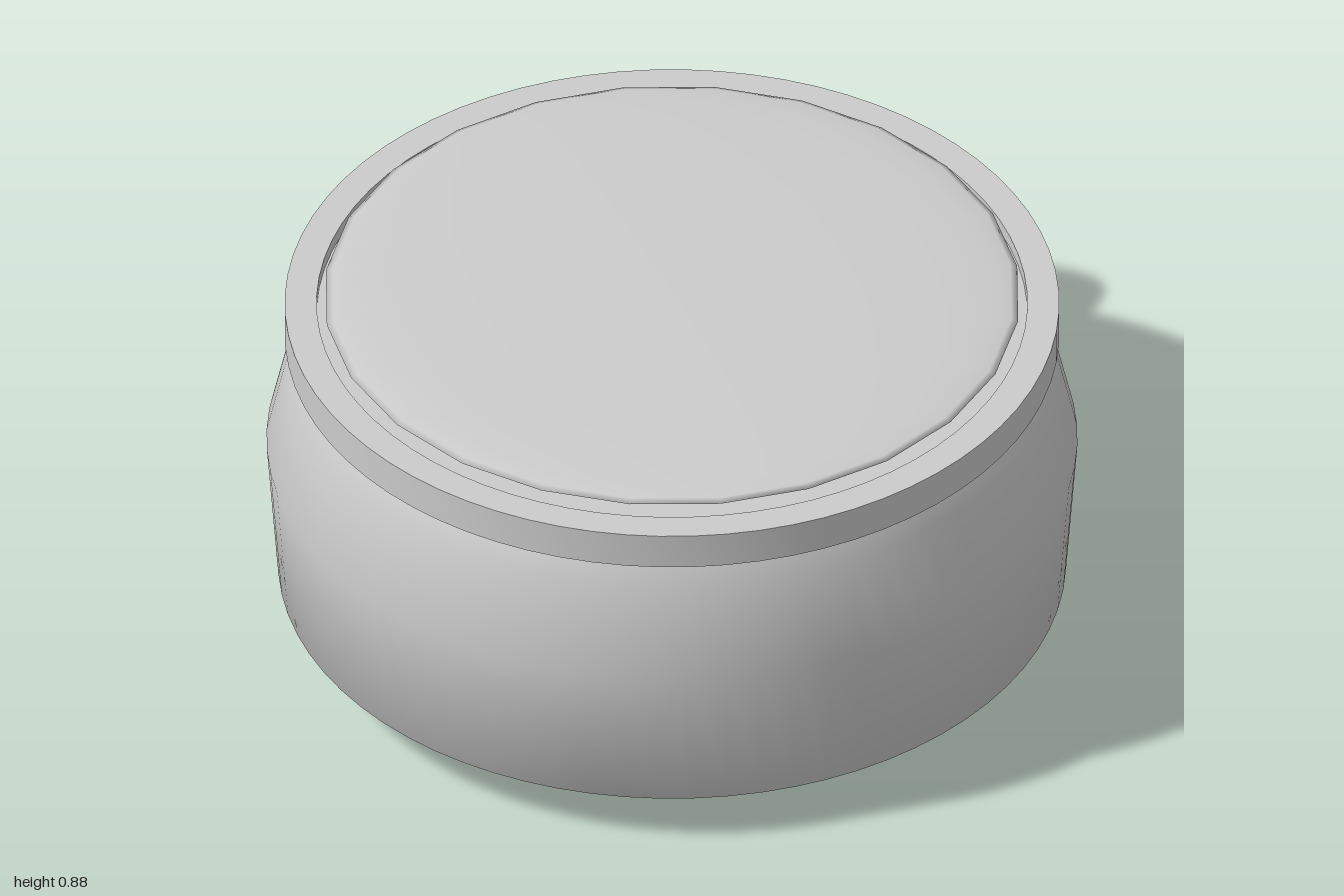
import * as THREE from 'three';
import { toCreasedNormals } from 'three/addons/utils/BufferGeometryUtils.js';

const CZ = 0.11; // axis of the round case

function lathe(points, segments = 72) {
  return new THREE.LatheGeometry(points.map(([x, y]) => new THREE.Vector2(x, y)), segments);
}

export function createModel() {
  const group = new THREE.Group();
  const metal = new THREE.MeshStandardMaterial({ color: 0xcccccc });
  metal.name = 'grey metal';

  const add = (name, geometry, x, y, z, parent = group) => {
    const mesh = new THREE.Mesh(geometry, metal);
    mesh.name = name;
    mesh.position.set(x, y, z);
    parent.add(mesh);
    return mesh;
  };

  // Bulging case with a chamfered foot, softly shaded
  add('caseBody', lathe([
    [0, 0], [0.685, 0], [0.865, 0.12], [0.89, 0.46], [0.84, 0.68], [0.79, 0.76],
  ]), 0, 0, CZ);

  // Flat rim with a shallow recess
  add('bezel', toCreasedNormals(lathe([
    [0.78, 0.745], [0.85, 0.745], [0.85, 0.83], [0.78, 0.83], [0.78, 0.745],
  ]), 0.6), 0, 0, CZ);
  add('recessFloor', new THREE.CircleGeometry(0.785, 72).rotateX(-Math.PI / 2), 0, 0.8, CZ);

  // Thin domed cover
  add('lens', new THREE.SphereGeometry(0.765, 24, 16).scale(1, 0.03 / 0.765, 1), 0, 0.85, CZ);

  // Knurled winding knob on the back
  const knob = new THREE.Group();
  knob.name = 'knob';
  knob.position.set(0, 0.445, 0);
  group.add(knob);
  const core = new THREE.CylinderGeometry(0.148, 0.148, 0.3, 48).rotateX(Math.PI / 2);
  add('knobCore', core, 0, 0, -0.85, knob);
  const cap = new THREE.CylinderGeometry(0.155, 0.155, 0.016, 48).rotateX(Math.PI / 2);
  add('knobCap', cap, 0, 0, -0.992, knob);

  const ridge = new THREE.BoxGeometry(0.024, 0.03, 0.21);
  const count = 24;
  for (let i = 0; i < count; i++) {
    const a = (i / count) * Math.PI * 2;
    const mesh = add('knobRidge', ridge, -Math.sin(a) * 0.146, Math.cos(a) * 0.146, -0.88, knob);
    mesh.rotation.z = a;
  }
  return group;
}
